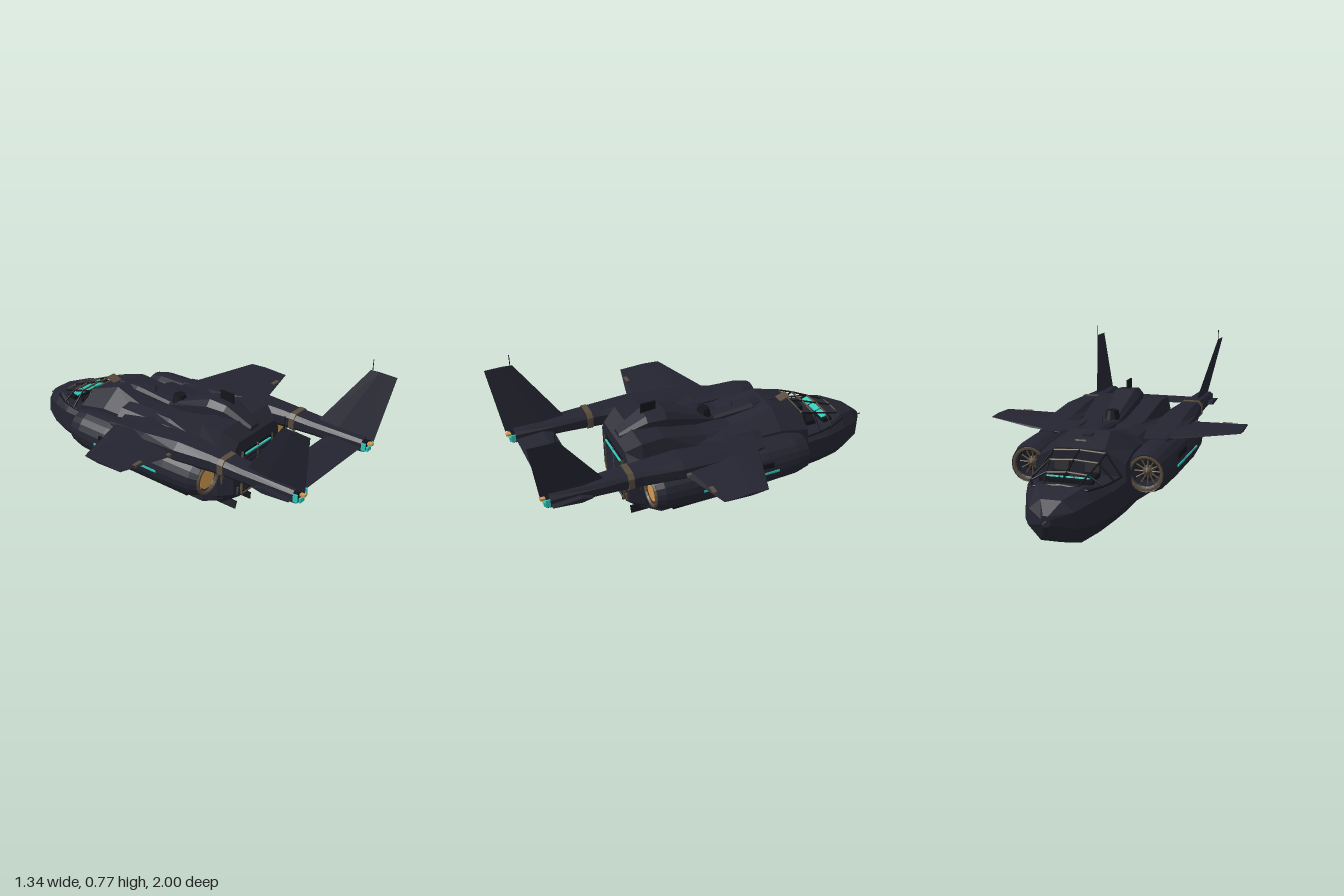
import * as THREE from 'three';
import { ConvexGeometry } from 'three/addons/geometries/ConvexGeometry.js';

const mat = (name, color) => {
  const m = new THREE.MeshStandardMaterial({ color, flatShading: true, side: THREE.DoubleSide });
  m.name = name;
  return m;
};

// Loft of mirrored eight-point sections: [z, wb,yb, wl,yl, wu,yu, wt,yt], ordered from -z to +z
function loft(sections) {
  const pos = [], idx = [], n = 8;
  for (const [z, ...p] of sections) {
    for (let k = 0; k < 4; k++) pos.push(p[2 * k], p[2 * k + 1], z);
    for (let k = 3; k >= 0; k--) pos.push(-p[2 * k], p[2 * k + 1], z);
  }
  const last = (sections.length - 1) * n;
  for (let i = 0; i < last; i += n)
    for (let j = 0; j < n; j++) {
      const a = i + j, b = i + (j + 1) % n;
      idx.push(a, b, b + n, a, b + n, a + n);
    }
  for (let j = 1; j < n - 1; j++) idx.push(0, j + 1, j, last, last + j, last + j + 1);
  const g = new THREE.BufferGeometry();
  g.setAttribute('position', new THREE.Float32BufferAttribute(pos, 3));
  g.setIndex(idx);
  const flat = g.toNonIndexed();
  flat.computeVertexNormals();
  return flat;
}

export function createModel() {
  const root = new THREE.Group();
  root.name = 'dropship';
  const hull = mat('hull navy', 0x232430), dark = mat('near black', 0x14151b);
  const bronze = mat('bronze trim', 0x574b3b), amber = mat('engine amber', 0xd39a4e), teal = mat('teal light', 0x2fc9bb);

  const add = (name, geo, m, x = 0, y = 0, z = 0) => {
    const mesh = new THREE.Mesh(geo, m);
    mesh.name = name;
    mesh.position.set(x, y, z);
    root.add(mesh);
    return mesh;
  };
  const box = (name, m, w, h, d, x, y, z) => add(name, new THREE.BoxGeometry(w, h, d), m, x, y, z);
  const convex = (name, m, s, pts) =>
    add(name, new ConvexGeometry(pts.map(([x, y, z]) => new THREE.Vector3(x * s, y, z))), m);
  const bar = (name, m, a, b, r) => {
    const A = new THREE.Vector3(...a), B = new THREE.Vector3(...b), d = B.clone().sub(A);
    const mesh = add(name, new THREE.CylinderGeometry(r, r, d.length(), 6), m);
    mesh.position.copy(A).add(B).multiplyScalar(0.5);
    mesh.quaternion.setFromUnitVectors(new THREE.Vector3(0, 1, 0), d.normalize());
  };

  // Fuselage, nose and cockpit tub
  add('fuselage', loft([
    [-0.52, 0.17, 0.025, 0.235, 0.12, 0.22, 0.3, 0.12, 0.36],
    [-0.36, 0.18, 0.025, 0.235, 0.1, 0.215, 0.33, 0.1, 0.415],
    [-0.12, 0.18, 0.025, 0.225, 0.09, 0.21, 0.33, 0.14, 0.375],
    [0.05, 0.18, 0.025, 0.225, 0.09, 0.21, 0.34, 0.16, 0.39],
    [0.28, 0.18, 0.03, 0.225, 0.08, 0.21, 0.36, 0.185, 0.452],
    [0.4, 0.17, 0.045, 0.215, 0.1, 0.21, 0.36, 0.19, 0.45],
    [0.475, 0.13, 0.09, 0.18, 0.12, 0.185, 0.35, 0.15, 0.4]]), hull);
  add('nose', loft([
    [-0.97, 0.01, 0.12, 0.022, 0.13, 0.022, 0.155, 0.012, 0.17],
    [-0.9, 0.05, 0.035, 0.11, 0.1, 0.105, 0.175, 0.05, 0.222],
    [-0.79, 0.1, 0.002, 0.168, 0.09, 0.163, 0.2, 0.11, 0.256],
    [-0.66, 0.14, 0.012, 0.215, 0.1, 0.208, 0.21, 0.175, 0.24],
    [-0.52, 0.17, 0.025, 0.235, 0.12, 0.228, 0.22, 0.2, 0.24]]), hull);
  bar('nose probe', bronze, [0, 0.145, -0.96], [0, 0.145, -1], 0.004);
  box('belly keel', dark, 0.22, 0.012, 0.85, 0, 0.023, -0.08);

  // Dorsal spine, turret and masts
  add('dorsal spine', loft([
    [-0.42, 0.02, 0.36, 0.025, 0.38, 0.025, 0.395, 0.02, 0.405],
    [-0.28, 0.04, 0.36, 0.05, 0.38, 0.05, 0.405, 0.03, 0.418],
    [-0.06, 0.03, 0.35, 0.04, 0.36, 0.04, 0.385, 0.025, 0.395],
    [0.22, 0.06, 0.4, 0.078, 0.44, 0.078, 0.48, 0.05, 0.512],
    [0.32, 0.06, 0.42, 0.07, 0.44, 0.07, 0.48, 0.045, 0.505],
    [0.46, 0.03, 0.38, 0.035, 0.4, 0.035, 0.42, 0.025, 0.43]]), hull);
  add('turret', new THREE.CylinderGeometry(0.03, 0.042, 0.05, 10), dark, 0, 0.42, -0.015);
  box('dorsal blade', dark, 0.008, 0.07, 0.08, 0, 0.52, 0.29);
  bar('dorsal antenna', dark, [0, 0.38, -0.18], [0, 0.44, -0.18], 0.002);
  box('deck hatch', bronze, 0.055, 0.008, 0.08, 0, 0.385, -0.475).rotation.x = 0.32;

  // Cockpit interior
  for (const s of [1, -1]) {
    box('seat', dark, 0.07, 0.03, 0.08, s * 0.075, 0.25, -0.6);
    box('seat back', dark, 0.07, 0.08, 0.02, s * 0.075, 0.275, -0.56).rotation.x = 0.2;
  }
  box('dashboard', dark, 0.25, 0.03, 0.05, 0, 0.25, -0.7);
  for (const x of [-0.073, 0, 0.073])
    box('dash screen', teal, 0.063, 0.008, 0.035, x, 0.268, -0.69).rotation.x = 0.3;

  // Open canopy frame
  const hoop = [[-0.53, 0.205, 0.13, 0.355], [-0.61, 0.195, 0.12, 0.328], [-0.7, 0.175, 0.1, 0.293], [-0.79, 0.13, 0.08, 0.258]];
  hoop.forEach(([z, w, t, h], i) => {
    const P = [[w, 0.242, z], [t, h - 0.008, z], [0, h, z], [-t, h - 0.008, z], [-w, 0.242, z]];
    for (let k = 0; k < 4; k++) bar('canopy hoop', k % 3 ? bronze : dark, P[k], P[k + 1], 0.005);
    if (i < 3) {
      const [z2, w2, t2, h2] = hoop[i + 1];
      const Q = [[w2, 0.242, z2], [t2, h2 - 0.008, z2], [0, h2, z2], [-t2, h2 - 0.008, z2], [-w2, 0.242, z2]];
      P.forEach((p, k) => bar('canopy rail', dark, p, Q[k], 0.005));
    }
  });

  // Rear cargo door with louvres
  box('cargo door', dark, 0.25, 0.24, 0.01, 0, 0.22, 0.476);
  for (let i = 0; i < 8; i++) box('door louvre', hull, 0.21, 0.016, 0.012, 0, 0.125 + i * 0.025, 0.48);
  for (const x of [-0.122, 0, 0.122]) box('door frame', bronze, 0.006, 0.24, 0.012, x, 0.22, 0.481);
  box('door sill', bronze, 0.25, 0.006, 0.012, 0, 0.104, 0.481);
  box('door light', teal, 0.205, 0.008, 0.009, 0, 0.323, 0.486);

  // Tailplane joining both booms
  convex('tailplane', hull, 1, [0.37, -0.37].flatMap(x =>
    [[x, 0.355, 0.715], [x, 0.37, 0.77], [x, 0.345, 0.77], [x, 0.357, 0.91]]));

  const nacelle = [[0.066, -0.425], [0.09, -0.44], [0.107, -0.37], [0.112, -0.2], [0.112, 0.2], [0.102, 0.36],
    [0.085, 0.4], [0.066, 0.4], [0.066, -0.425]].map(p => new THREE.Vector2(...p));
  for (const s of [1, -1]) {
    const X = s * 0.293, Y = 0.24;
    // Engine nacelle with open bypass ring
    add('nacelle', new THREE.LatheGeometry(nacelle, 20).rotateX(Math.PI / 2), hull, X, Y, 0);
    add('intake ring', new THREE.TorusGeometry(0.08, 0.01, 6, 20), bronze, X, Y, -0.432);
    add('exhaust ring', new THREE.TorusGeometry(0.074, 0.01, 6, 20), bronze, X, Y, 0.402);
    add('exhaust glow', new THREE.CylinderGeometry(0.054, 0.054, 0.02, 24).rotateX(Math.PI / 2), amber, X, Y, 0.39);
    add('engine core', new THREE.CylinderGeometry(0.05, 0.05, 0.76, 12).rotateX(Math.PI / 2), dark, X, Y, 0);
    add('intake spinner', new THREE.ConeGeometry(0.03, 0.04, 10).rotateX(-Math.PI / 2), bronze, X, Y, -0.4);
    for (let i = 0; i < 12; i++) {
      const a = i * Math.PI / 6, c = Math.cos(a), d = Math.sin(a);
      for (const [z, r] of [[0.385, 0.045], [-0.39, 0.02]])
        bar('engine vane', bronze, [X + c * r, Y + d * r, z], [X + c * 0.07, Y + d * 0.07, z], 0.004);
    }
    box('nacelle light', teal, 0.008, 0.011, 0.42, s * 0.404, Y, -0.04);
    box('nacelle vent', dark, 0.012, 0.03, 0.18, s * 0.395, 0.278, -0.13);
    box('nacelle keel', dark, 0.06, 0.03, 0.5, X, 0.13, 0.05);
    box('nacelle mount', hull, 0.1, 0.12, 0.5, s * 0.2, 0.25, 0);
    box('rear strut', bronze, 0.012, 0.15, 0.025, s * 0.2, 0.245, 0.41);

    // Wing and its trim
    convex('wing', hull, s, [
      [0.15, 0.35, -0.225], [0.15, 0.375, -0.05], [0.15, 0.325, -0.05], [0.15, 0.35, 0.25],
      [0.4, 0.35, -0.14], [0.4, 0.364, 0], [0.4, 0.336, 0], [0.4, 0.35, 0.252],
      [0.67, 0.369, -0.04], [0.67, 0.375, 0.05], [0.67, 0.362, 0.05], [0.67, 0.369, 0.19]]);
    bar('wing seam', bronze, [s * 0.475, 0.363, -0.09], [s * 0.475, 0.36, 0.2], 0.0025);
    box('flap hinge', bronze, 0.05, 0.014, 0.02, s * 0.56, 0.362, 0.195);
    box('flap hinge', bronze, 0.05, 0.014, 0.02, s * 0.375, 0.35, 0.24);
    convex('wing shoulder', hull, s, [-0.24, 0.28].flatMap(z =>
      [[0.13, 0.33, z], [0.13, 0.385, z], [0.2, 0.37, z], [0.24, 0.33, z]]));

    // Tail boom
    add('tail boom', loft([
      [-0.2, 0.03, 0.325, 0.04, 0.335, 0.04, 0.35, 0.03, 0.355],
      [0.05, 0.065, 0.31, 0.085, 0.335, 0.085, 0.37, 0.05, 0.385],
      [0.26, 0.06, 0.305, 0.088, 0.335, 0.085, 0.38, 0.05, 0.412],
      [0.46, 0.045, 0.32, 0.062, 0.34, 0.062, 0.385, 0.042, 0.408],
      [0.64, 0.04, 0.328, 0.055, 0.345, 0.055, 0.38, 0.04, 0.4],
      [0.91, 0.03, 0.33, 0.045, 0.345, 0.045, 0.38, 0.03, 0.395]]), hull, X);
    add('boom band', loft([0.505, 0.535].map(z =>
      [z, 0.046, 0.318, 0.064, 0.338, 0.064, 0.388, 0.044, 0.41])), bronze, X);
    box('tail housing', dark, 0.07, 0.05, 0.03, X, 0.36, 0.91);
    box('tail light', teal, 0.034, 0.022, 0.03, X, 0.342, 0.92);
    for (const o of [-0.038, 0.038]) box('tail light side', teal, 0.008, 0.04, 0.025, X + o, 0.362, 0.92);
    box('tail lamp', amber, 0.022, 0.012, 0.03, X, 0.369, 0.935);

    // Canted fin and whip antenna
    convex('tail fin', dark === hull ? dark : hull, s, [
      [0.298, 0.385, 0.63], [0.288, 0.385, 0.75], [0.312, 0.385, 0.75], [0.3, 0.385, 0.95],
      [0.37, 0.712, 0.86], [0.364, 0.712, 0.91], [0.376, 0.712, 0.91], [0.372, 0.712, 1]]);
    bar('fin antenna', dark, [s * 0.371, 0.7, 0.87], [s * 0.371, 0.77, 0.87], 0.002);

    // Lower sponson and ventral skid fin
    convex('sponson', hull, s, [
      [0.16, 0.03, -0.35], [0.2, 0.19, -0.35], [0.225, 0.1, -0.35],
      [0.17, 0.035, 0.36], [0.238, 0.055, -0.1], [0.24, 0.055, 0.33], [0.24, 0.13, 0.33],
      [0.238, 0.13, -0.1], [0.205, 0.2, 0.36], [0.19, 0.08, 0.42]]);
    convex('ventral fin', dark, s, [0.15, 0.45].flatMap(z =>
      [[0.112, 0.04, z], [0.12, 0.04, z], [0.125, 0.004, z], [0.131, 0.004, z]]));
    bar('door piston', bronze, [s * 0.15, 0.11, 0.475], [s * 0.15, 0.15, 0.478], 0.006);
  }
  box('centre ventral blade', dark, 0.008, 0.036, 0.3, 0, 0.018, 0.3);
  return root;
}
